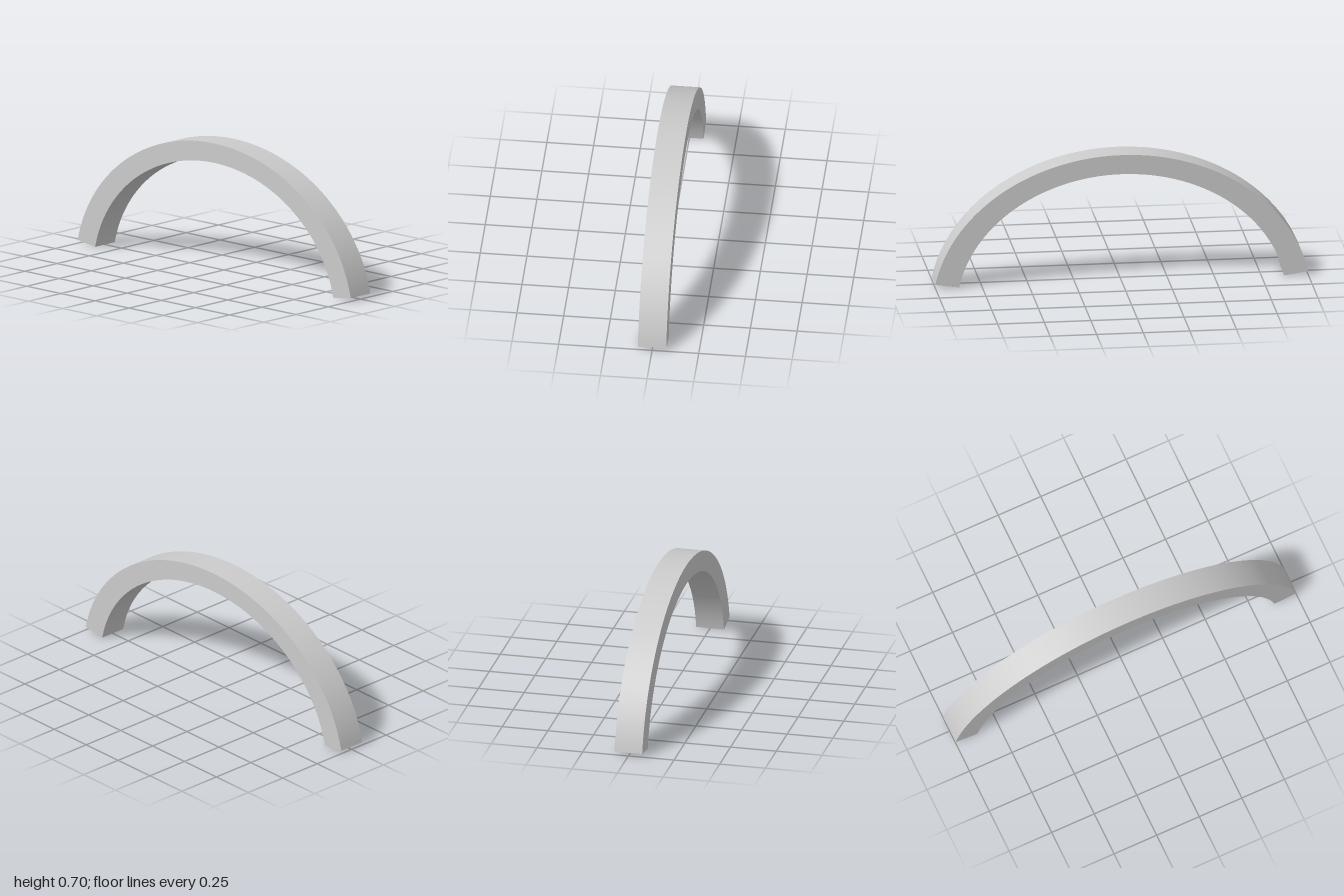
import * as THREE from 'three';
import { toCreasedNormals } from 'three/addons/utils/BufferGeometryUtils.js';

const WIDTH = 0.152;            // across x
const RZ = 1.0154, RY = 0.83;   // outer radii
const INNER = 0.872;            // inner radii as a share of the outer ones
const CENTRE_Y = -0.126;        // ellipse centre lies below the ground
const START = Math.PI / 18;     // the ends are cut along radial lines

export function createModel() {
  const group = new THREE.Group();
  group.name = 'archModel';

  // Side outline: outer curve one way, inner curve back
  const outline = new THREE.Shape();
  outline.absellipse(0, CENTRE_Y, RZ, RY, START, Math.PI - START, false, 0);
  outline.absellipse(0, CENTRE_Y, RZ * INNER, RY * INNER, Math.PI - START, START, true, 0);
  outline.closePath();

  // Extrude across the width and turn the span along z
  const geometry = new THREE.ExtrudeGeometry(outline, {
    depth: WIDTH, bevelEnabled: false, curveSegments: 48,
  });
  geometry.translate(0, 0, -WIDTH / 2);
  geometry.rotateY(-Math.PI / 2);

  const arch = new THREE.Mesh(
    toCreasedNormals(geometry, Math.PI / 6),
    new THREE.MeshStandardMaterial({ color: 0xcccccc }),
  );
  arch.name = 'arch';
  group.add(arch);
  return group;
}
